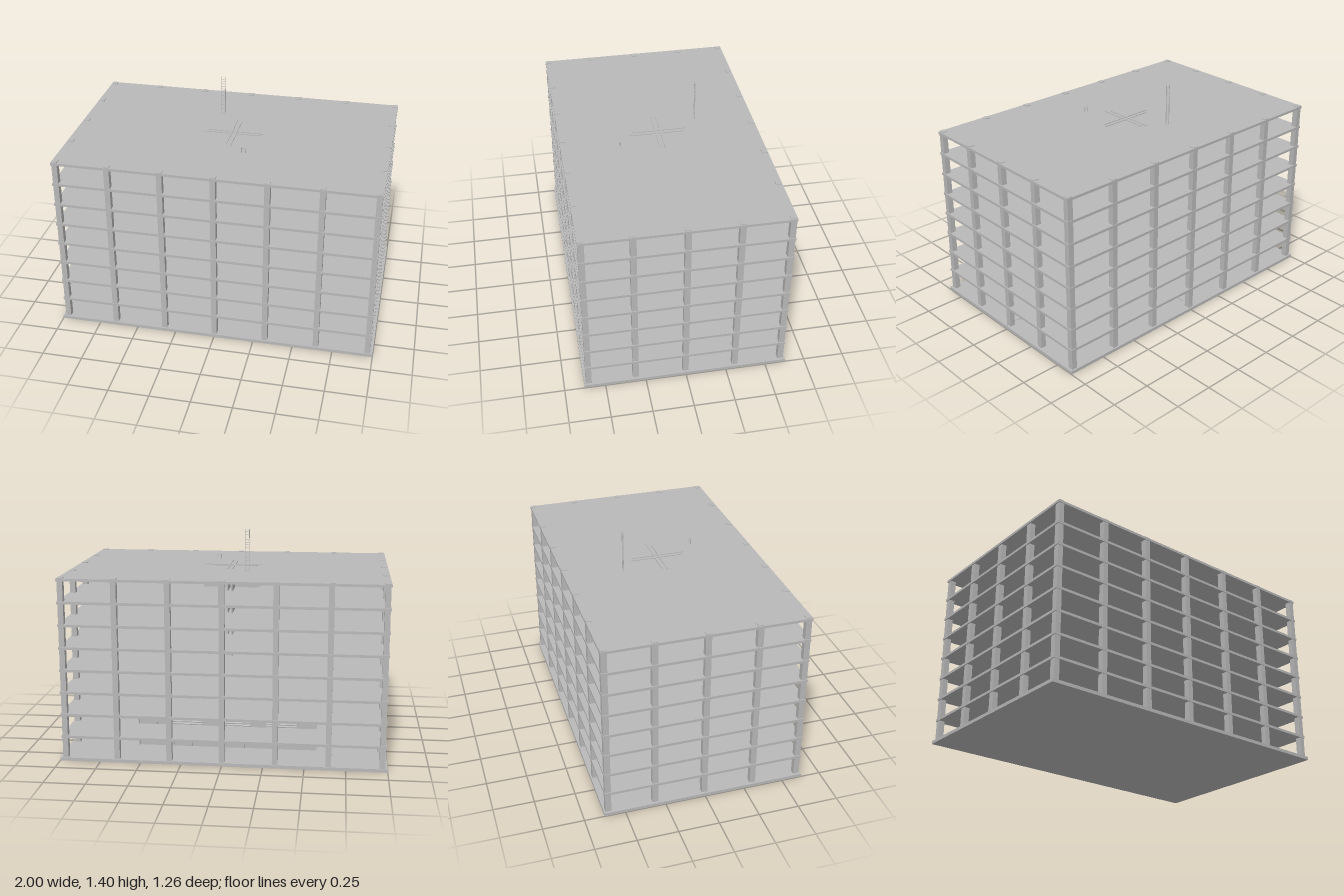
import * as THREE from 'three';

export function createModel() {
  const model = new THREE.Group();
  const concrete = new THREE.MeshStandardMaterial({ color: 0xb8b8b8 });
  concrete.name = 'concrete grey';

  // Box given by its lower and upper limits on each axis
  function box(parent, name, x0, x1, y0, y1, z0, z1) {
    const mesh = new THREE.Mesh(new THREE.BoxGeometry(x1 - x0, y1 - y0, z1 - z0), concrete);
    mesh.position.set((x0 + x1) / 2, (y0 + y1) / 2, (z0 + z1) / 2);
    mesh.name = name;
    parent.add(mesh);
    return mesh;
  }
  function group(name, parent = model) {
    const g = new THREE.Group();
    g.name = name;
    parent.add(g);
    return g;
  }

  // Ground slab and eight storeys of floor plates
  box(model, 'baseSlab', -1, 1, 0, 0.02, -0.628, 0.628);
  const floors = group('floorSlabs');
  for (let i = 0; i < 8; i++) {
    const y = 0.152 + i * 0.1395;
    box(floors, 'floorSlab', -0.99, 0.99, y - 0.008, y + 0.008, -0.621, 0.621);
  }

  // Perimeter columns, standing just proud of the roof
  const columns = group('columns');
  const column = (x, z) =>
    box(columns, 'column', x - 0.017, x + 0.017, 0.02, 1.141, z - 0.018, z + 0.018);
  for (const s of [-1, 1]) {
    for (let i = -3; i <= 3; i++) column(i * 0.3225, s * 0.6);
    for (const z of [-0.31, 0, 0.31]) column(s * 0.967, z);
  }

  // Cross-shaped core of paired shear walls in a pinwheel
  const core = group('coreWalls');
  box(core, 'coreWall', -0.165, 0.183, 0.02, 1.141, -0.022, -0.012);
  box(core, 'coreWall', -0.185, 0.165, 0.02, 1.141, 0.008, 0.018);
  box(core, 'coreWall', -0.02, -0.01, 0.02, 1.141, -0.178, 0.158);
  box(core, 'coreWall', 0.01, 0.02, 0.02, 1.141, -0.16, 0.178);

  // Entrance pavilion at the foot of the core
  const pavilion = group('pavilion');
  box(pavilion, 'pavilionBody', -0.56, 0.56, 0.02, 0.222, -0.335, 0.335);
  box(pavilion, 'pavilionRoofTrim', -0.572, 0.572, 0.222, 0.231, -0.347, 0.347);
  for (const s of [-1, 1]) {
    for (let i = -6; i <= 6; i++) {
      const z = i * 0.053;
      box(pavilion, 'sideRib', s * 0.564 - 0.004, s * 0.564 + 0.004, 0.02, 0.222, z - 0.003, z + 0.003);
    }
    for (let i = -5; i <= 5; i++) {
      const x = i * 0.112;
      box(pavilion, 'frontRib', x - 0.003, x + 0.003, 0.02, 0.222, s * 0.338 - 0.004, s * 0.338 + 0.004);
    }
    // Louvred vents
    for (const x of [-0.345, -0.055, 0.255]) {
      for (let i = 0; i < 4; i++) {
        const y = 0.142 + i * 0.015;
        const slat = box(pavilion, 'ventSlat', x - 0.095, x + 0.095, y - 0.002, y + 0.002,
          s * 0.341 - 0.007, s * 0.341 + 0.007);
        slat.rotation.x = s * 0.4;
      }
    }
  }
  // Door with its frame
  box(pavilion, 'door', -0.513, -0.46, 0.02, 0.125, 0.335, 0.34);
  for (const x of [-0.516, -0.457])
    box(pavilion, 'doorJamb', x - 0.003, x + 0.003, 0.02, 0.13, 0.335, 0.346);
  box(pavilion, 'doorHead', -0.519, -0.454, 0.125, 0.131, 0.335, 0.346);

  // Low rails from the pavilion out to the middle of each edge
  const rails = group('lowRails');
  function lowRail(start, end, angle) {
    const rail = group('lowRail', rails);
    box(rail, 'railBar', start, end, 0.033, 0.036, -0.0015, 0.0015);
    for (let x = end - 0.002; x > start; x -= 0.1)
      box(rail, 'railPost', x - 0.0015, x + 0.0015, 0.02, 0.034, -0.0015, 0.0015);
    rail.rotation.y = angle;
  }
  for (const a of [0, Math.PI]) {
    lowRail(0.56, 0.998, a);
    lowRail(0.335, 0.626, a + Math.PI / 2);
  }

  // Ladders
  function ladder(name, x, z, y0, y1) {
    const g = group(name);
    for (const s of [-1, 1])
      box(g, 'ladderRail', x + s * 0.0125 - 0.0015, x + s * 0.0125 + 0.0015, y0, y1, z - 0.0015, z + 0.0015);
    for (let y = y0 + 0.008; y < y1; y += 0.016)
      box(g, 'ladderRung', x - 0.0125, x + 0.0125, y - 0.001, y + 0.001, z - 0.001, z + 0.001);
    return g;
  }
  const tall = ladder('tallLadder', 0.113, 0.255, 0.231, 1.17);
  for (let y = 0.318; y < 1.15; y += 0.1138)
    for (const x of [0.1005, 0.1255])
      box(tall, 'ladderBracket', x - 0.001, x + 0.001, y - 0.0015, y + 0.0015, 0.235, 0.255);
  ladder('roofLadder', -0.12, -0.255, 1.12, 1.4);

  return model;
}
